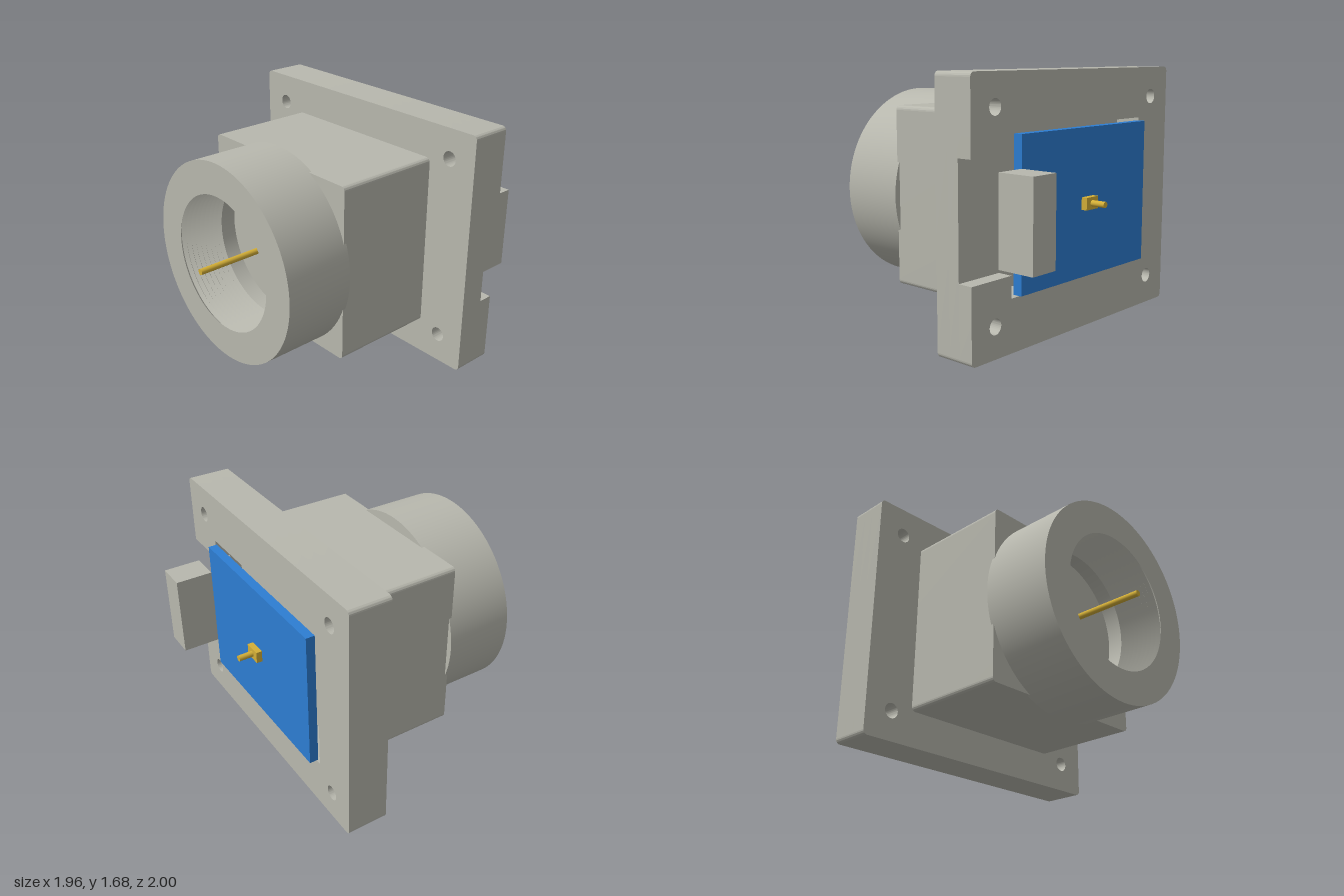
import * as THREE from 'three';
import { toCreasedNormals } from 'three/addons/utils/BufferGeometryUtils.js';

const CY = 0.84; // height of the common axis

export function createModel() {
  const model = new THREE.Group();
  model.name = 'waveguideAdapter';

  const material = (name, color) => {
    const m = new THREE.MeshStandardMaterial({ color });
    m.name = name;
    return m;
  };
  const metal = material('grey metal', 0xb8b8ae);
  const blue = material('blue board', 0x2d7dd2);
  const gold = material('gold', 0xd4af37);

  const add = (name, geometry, mat, parent = model) => {
    const mesh = new THREE.Mesh(geometry, mat);
    mesh.name = name;
    parent.add(mesh);
    return mesh;
  };
  // Box given by its limits on each axis
  const box = (name, mat, [x0, x1], [y0, y1], [z0, z1]) =>
    add(name, new THREE.BoxGeometry(x1 - x0, y1 - y0, z1 - z0), mat)
      .position.set((x0 + x1) / 2, (y0 + y1) / 2, (z0 + z1) / 2);
  // Extrudes a shape (drawn as -z, y) along x
  const slab = (name, shape, x0, x1, parent) => {
    const geometry = new THREE.ExtrudeGeometry(shape, { depth: x1 - x0, bevelEnabled: false, curveSegments: 32 });
    geometry.rotateY(Math.PI / 2).translate(x0, 0, 0);
    return add(name, toCreasedNormals(geometry, 0.5), metal, parent);
  };

  // Rectangle with rounded corners; an optional outline part replaces its left side
  const roundedRect = (w, y0, y1, r, leftSide = []) => {
    const s = new THREE.Shape();
    s.moveTo(-w + r, y0);
    s.lineTo(w - r, y0);
    s.absarc(w - r, y0 + r, r, -Math.PI / 2, 0);
    s.absarc(w - r, y1 - r, r, 0, Math.PI / 2);
    s.absarc(-w + r, y1 - r, r, Math.PI / 2, Math.PI);
    leftSide.forEach(([a, b]) => s.lineTo(a, b));
    s.absarc(-w + r, y0 + r, r, Math.PI, Math.PI * 1.5);
    return s;
  };
  const drill = (shape) => {
    for (const z of [-0.8, 0.8]) {
      for (const y of [0.2, 1.48]) {
        shape.holes.push(new THREE.Path().absarc(z, y, 0.05, 0, Math.PI * 2, true));
      }
    }
    return shape;
  };

  // Flange: solid back, layer with pocket, front layer with pocket and side notch
  const flange = new THREE.Group();
  flange.name = 'flange';
  model.add(flange);
  const R = 0.03;
  slab('flangeBack', drill(roundedRect(1, 0, 1.68, R)), 0.38, 0.48, flange);
  const pocketLayer = drill(roundedRect(1, 0, 1.68, R));
  pocketLayer.holes.push(new THREE.Path([
    [-0.66, 0.34], [-0.66, 1.34], [0.66, 1.34], [0.66, 0.34],
  ].map(([a, b]) => new THREE.Vector2(a, b))));
  slab('flangePocket', pocketLayer, 0.48, 0.56, flange);
  slab('flangeFront', drill(roundedRect(1, 0, 1.68, R, [
    [-1, 1.2], [-0.66, 1.2], [-0.66, 1.34], [0.66, 1.34],
    [0.66, 0.34], [-0.66, 0.34], [-0.66, 0.48], [-1, 0.48],
  ])), 0.56, 0.66, flange);

  // Housing block
  slab('housing', roundedRect(0.64, 0.24, 1.44, R), -0.36, 0.38);

  // Round socket with a threaded bore, open toward -x
  const profile = [[0.49, -0.34], [0.49, -0.48]];
  const turns = 9, pitch = 0.036;
  for (let i = 0; i < turns; i++) {
    const x = -0.49 - i * pitch;
    profile.push([0.46, x], [0.49, x - pitch / 2]);
  }
  profile.push([0.46, -0.82], [0.68, -0.82], [0.68, -0.34], [0.49, -0.34]);
  const socket = new THREE.LatheGeometry(profile.map(([r, x]) => new THREE.Vector2(r, x)), 96);
  socket.rotateZ(-Math.PI / 2).translate(0, CY, 0);
  add('threadedSocket', toCreasedNormals(socket, 0.5), metal);

  // Circuit board and the connector block at its edge
  box('board', blue, [0.66, 0.72], [0.36, 1.32], [-0.64, 0.64]);
  box('connectorBlock', metal, [0.72, 0.975], [0.56, 1.12], [0.64, 0.84]);

  // Contact pad and the pin through the whole axis
  box('contactPad', gold, [0.72, 0.76], [0.8, 0.88], [-0.06, 0.06]);
  const pin = new THREE.CylinderGeometry(0.02, 0.02, 1.84, 24);
  pin.rotateZ(-Math.PI / 2).translate(-0.06, CY, 0);
  add('pin', pin, gold);

  return model;
}
